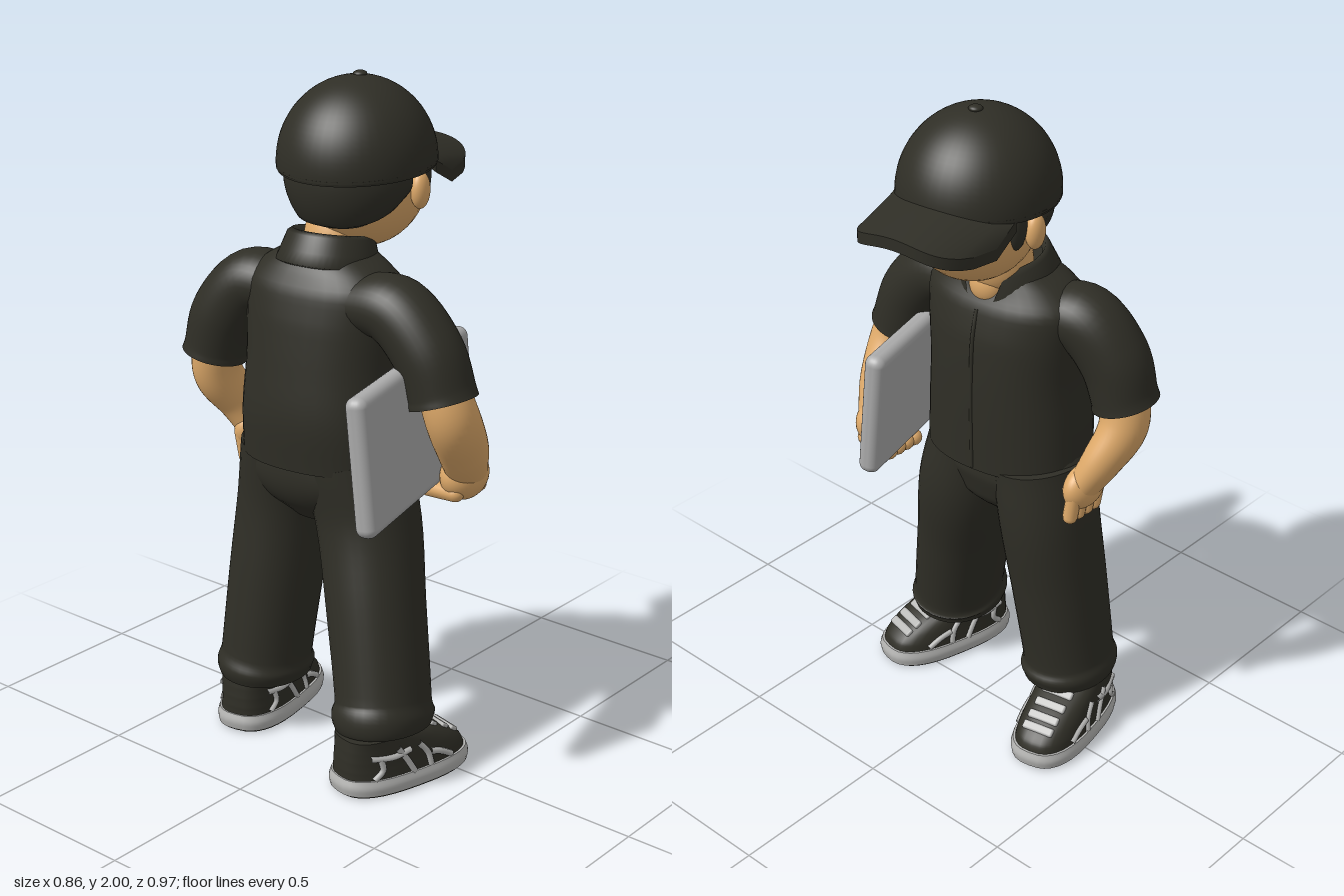
import * as THREE from 'three';
import { RoundedBoxGeometry } from 'three/addons/geometries/RoundedBoxGeometry.js';

const mat = (name, color) => {
  const m = new THREE.MeshStandardMaterial({ color, side: THREE.DoubleSide });
  m.name = name;
  return m;
};
const V = (x, y, z) => new THREE.Vector3(x, y, z);

// Smooth capped body through elliptical rings [x, y, z, radiusA (along x), radiusB];
// e < 1 squares the rings, level keeps them horizontal
function loft(rings, e = 1, level = false, steps = 28, sides = 36) {
  const path = new THREE.CatmullRomCurve3(rings.map(r => V(r[0], r[1], r[2])));
  const radii = new THREE.CatmullRomCurve3(rings.map(r => V(r[3], r[4], 0)));
  const pos = [], idx = [];
  const pw = v => Math.sign(v) * Math.abs(v) ** e;
  const ring = t => {
    const c = path.getPoint(t), r = radii.getPoint(t), T = level ? V(0, 1, 0) : path.getTangent(t);
    const A = V(1, 0, 0).addScaledVector(T, -T.x).normalize();
    const B = T.clone().cross(A);
    for (let j = 0; j < sides; j++) {
      const a = j / sides * Math.PI * 2;
      const p = c.clone().addScaledVector(A, r.x * pw(Math.cos(a))).addScaledVector(B, r.y * pw(Math.sin(a)));
      pos.push(p.x, p.y, p.z);
    }
    return c;
  };
  for (let i = 0; i <= steps; i++) ring(i / steps);
  for (let i = 0; i < steps; i++) for (let j = 0; j < sides; j++) {
    const a = i * sides + j, b = i * sides + (j + 1) % sides;
    idx.push(a, b, a + sides, b, b + sides, a + sides);
  }
  for (const t of [0, 1]) {
    const base = pos.length / 3, c = ring(t), m = base + sides;
    pos.push(c.x, c.y, c.z);
    for (let j = 0; j < sides; j++) {
      const a = base + j, b = base + (j + 1) % sides;
      if (t) idx.push(m, a, b); else idx.push(m, b, a);
    }
  }
  const g = new THREE.BufferGeometry();
  g.setAttribute('position', new THREE.Float32BufferAttribute(pos, 3));
  g.setIndex(idx);
  g.computeVertexNormals();
  return g;
}

export function createModel() {
  const dark = mat('dark cloth', 0x2f2e26), skin = mat('skin', 0xdfaa6a);
  const grey = mat('board grey', 0xababab), pale = mat('shoe trim', 0xb4b4b2);
  const model = new THREE.Group();
  const group = (name, x, z, yaw) => {
    const g = new THREE.Group();
    g.name = name; g.position.set(x, 0, z); g.rotation.y = yaw;
    model.add(g);
    return g;
  };
  const add = (parent, name, geo, m) => {
    const mesh = new THREE.Mesh(geo, m);
    mesh.name = name;
    parent.add(mesh);
    return mesh;
  };
  const ball = (parent, name, m, [x, y, z], [a, b, c]) => {
    const s = add(parent, name, new THREE.SphereGeometry(1, 36, 24), m);
    s.position.set(x, y, z); s.scale.set(a, b, c);
  };
  const finger = (parent, name, a, b, r) => {
    const p = V(...a), q = V(...b), d = q.clone().sub(p);
    const f = add(parent, name, new THREE.CapsuleGeometry(r, d.length(), 6, 12), skin);
    f.position.copy(p).add(q).multiplyScalar(0.5);
    f.quaternion.setFromUnitVectors(V(0, 1, 0), d.normalize());
  };

  // Head, hair and cap, turned slightly
  const head = group('head', 0.04, -0.01, 0.13);
  ball(head, 'face', skin, [0.02, 1.7, 0], [0.19, 0.195, 0.185]);
  const hairGeo = new THREE.SphereGeometry(1, 36, 20, -1.5, 3.0, 0.9, 1.3);
  const hp = hairGeo.attributes.position, uv = hairGeo.attributes.uv;
  const vMin = Math.min(...uv.array.filter((_, i) => i % 2));
  for (let i = 0; i < hp.count; i++) {          // hairline climbs to the ears and tucks into the head
    const w = Math.abs(2 * uv.getX(i) - 1), y = hp.getY(i);
    const edge = w > 0.999 || uv.getY(i) < vMin + 0.001 ? 0.86 : 1;
    hp.setXYZ(i, hp.getX(i) * edge, y < 0 ? y * (1 - 0.7 * w ** 3) : y, hp.getZ(i) * edge);
  }
  hairGeo.computeVertexNormals();
  const hair = add(head, 'hair', hairGeo, dark);
  hair.position.set(-0.005, 1.72, 0); hair.scale.set(0.215, 0.22, 0.203);
  for (const s of [-1, 1]) {
    ball(head, 'ear', skin, [0.012, 1.688, s * 0.195], [0.033, 0.053, 0.026]);
    ball(head, 'sideburn', dark, [0.062, 1.72, s * 0.168], [0.034, 0.075, 0.026]);
  }
  const cap = new THREE.Group();
  cap.name = 'cap'; cap.position.set(-0.005, 1.755, 0); cap.rotation.z = 0.06;
  head.add(cap);
  const dome = add(cap, 'capDome', new THREE.SphereGeometry(1, 48, 20, 0, Math.PI * 2, 0, 1.6), dark);
  dome.scale.set(0.236, 0.236, 0.223);
  const rim = add(cap, 'capRim', new THREE.CylinderGeometry(1, 0.985, 0.014, 48), dark);
  rim.scale.set(0.236, 1, 0.223); rim.position.y = -0.007;
  ball(cap, 'capButton', dark, [0.028, 0.235, 0], [0.02, 0.01, 0.02]);
  const billGeo = new THREE.BoxGeometry(1, 1, 2, 10, 1, 28);
  const bp = billGeo.attributes.position;
  for (let i = 0; i < bp.count; i++) {          // rounded, arched peak
    const a = bp.getX(i) + 0.5, s = bp.getZ(i);
    bp.setXYZ(i, 0.1 + a * (0.09 + 0.195 * (1 - s ** 4) ** 0.6),
      1.792 - 0.045 * a - 0.055 * s * s + bp.getY(i) * 0.034, 0.193 * s);
  }
  billGeo.computeVertexNormals();
  add(head, 'capPeak', billGeo, dark);

  // Shirt, neck and collar
  const torso = group('torso', -0.065, -0.035, 0.1);
  add(torso, 'shirtBody', loft([[-0.008, 0.91, 0, 0.19, 0.25], [-0.012, 1.05, 0, 0.197, 0.245], [-0.005, 1.2, 0, 0.19, 0.235],
    [0, 1.33, 0, 0.178, 0.24], [0, 1.42, 0, 0.158, 0.245], [0, 1.48, 0, 0.125, 0.19], [0.01, 1.525, 0, 0.1, 0.11]], 0.88, true), dark);
  add(torso, 'placket', new THREE.TubeGeometry(new THREE.CatmullRomCurve3(
    [V(0.18, 0.915, 0), V(0.183, 1.2, 0), V(0.176, 1.34, 0), V(0.155, 1.42, 0)]), 20, 0.006, 8), dark);
  add(torso, 'neck', loft([[0.02, 1.42, 0, 0.085, 0.085], [0.045, 1.5, 0, 0.09, 0.09], [0.08, 1.62, 0, 0.09, 0.09]]), skin);
  ball(torso, 'openNeckline', skin, [0.105, 1.48, 0], [0.045, 0.06, 0.055]);
  const collarGeo = new THREE.LatheGeometry([[0.1, 0.03], [0.112, 0.055], [0.125, 0.045], [0.14, 0], [0.152, -0.035], [0.14, -0.04]]
    .map(p => new THREE.Vector2(...p)), 48, Math.PI / 2);
  const cp = collarGeo.attributes.position, cuv = collarGeo.attributes.uv;
  for (let i = 0; i < cp.count; i++) {          // open the front in a V, with dipping points
    const r = Math.hypot(cp.getX(i), cp.getZ(i)), y = cp.getY(i);
    const gap = 0.12 + 5 * (y + 0.04);
    const d = gap + cuv.getX(i) * (2 * Math.PI - 2 * gap);
    const f = Math.max(0, Math.cos(d));
    cp.setXYZ(i, r * Math.cos(d), y - 0.05 * f * f * (r - 0.1) / 0.05, -r * Math.sin(d));
  }
  collarGeo.computeVertexNormals();
  const collar = add(torso, 'collar', collarGeo, dark);
  collar.position.set(0.015, 1.507, 0); collar.rotation.z = -0.17;

  // Arm holding the board
  const armA = group('boardArm', 0, 0, 0);
  add(armA, 'sleeve', loft([[-0.085, 1.39, 0.1, 0.1, 0.08], [-0.08, 1.385, 0.23, 0.105, 0.098],
    [-0.075, 1.285, 0.335, 0.103, 0.1], [-0.07, 1.18, 0.378, 0.1, 0.096], [-0.07, 1.155, 0.386, 0.102, 0.099]]), dark);
  add(armA, 'forearm', loft([[-0.07, 1.22, 0.37, 0.07, 0.07], [-0.05, 1.1, 0.405, 0.08, 0.074],
    [0.02, 0.99, 0.39, 0.077, 0.066], [0.085, 0.9, 0.355, 0.06, 0.058]]), skin);
  ball(armA, 'palm', skin, [0.078, 0.892, 0.352], [0.084, 0.074, 0.062]);
  for (let i = 0; i < 4; i++) {
    finger(armA, 'finger', [0.026 + i * 0.035, 0.85, 0.36], [0.03 + i * 0.035, 0.843, 0.262], 0.026);
  }
  finger(armA, 'thumb', [0.1, 0.94, 0.35], [0.168, 0.92, 0.28], 0.026);

  // Arm with the hand at the hip
  const armB = group('hipArm', 0, 0, 0);
  add(armB, 'sleeve', loft([[-0.085, 1.385, -0.15, 0.1, 0.08], [-0.115, 1.385, -0.27, 0.105, 0.098],
    [-0.14, 1.285, -0.355, 0.103, 0.1], [-0.148, 1.18, -0.388, 0.1, 0.092], [-0.15, 1.155, -0.394, 0.102, 0.095]]), dark);
  add(armB, 'forearm', loft([[-0.15, 1.22, -0.385, 0.07, 0.07], [-0.13, 1.09, -0.405, 0.077, 0.068],
    [-0.07, 0.99, -0.38, 0.068, 0.056], [-0.038, 0.91, -0.345, 0.06, 0.045]]), skin);
  ball(armB, 'palm', skin, [-0.04, 0.905, -0.342], [0.077, 0.068, 0.046]);
  for (let i = 0; i < 4; i++) {
    finger(armB, 'finger', [-0.094 + i * 0.035, 0.9, -0.348], [-0.086 + i * 0.034, 0.825, -0.34], 0.022);
  }

  // Board under the arm
  const board = add(model, 'board', new RoundedBoxGeometry(0.735, 0.395, 0.064, 4, 0.028), grey);
  board.position.set(-0.07, 1.055, 0.284);
  board.rotation.set(-0.09, 0.26, 0, 'YXZ');

  // Trousers
  const trousers = group('trousers', 0, 0, 0);
  add(trousers, 'hips', loft([[-0.075, 0.98, -0.04, 0.165, 0.22], [-0.075, 0.87, -0.045, 0.172, 0.265],
    [-0.07, 0.79, -0.045, 0.145, 0.21], [-0.07, 0.725, -0.045, 0.08, 0.1]]), dark);
  add(trousers, 'legBoardSide', loft([[-0.07, 0.92, 0.07, 0.165, 0.14], [-0.062, 0.74, 0.115, 0.157, 0.145],
    [-0.105, 0.5, 0.18, 0.15, 0.137], [-0.15, 0.24, 0.245, 0.148, 0.13], [-0.158, 0.2, 0.252, 0.16, 0.139],
    [-0.16, 0.165, 0.255, 0.15, 0.13]], 0.95), dark);
  add(trousers, 'legHipSide', loft([[-0.065, 0.92, -0.17, 0.165, 0.135], [-0.06, 0.74, -0.198, 0.157, 0.135],
    [-0.085, 0.5, -0.22, 0.148, 0.134], [-0.11, 0.24, -0.242, 0.142, 0.13], [-0.112, 0.2, -0.245, 0.155, 0.137],
    [-0.112, 0.165, -0.246, 0.145, 0.128]], 0.95), dark);

  // Shoes: t runs up the upper from sole to ankle
  const upper = t => [-0.09 * t * t, 0.045 + 0.125 * t, 0, 0.215 - 0.1 * t * t, 0.103 - 0.015 * t];
  const onSide = ([x, t], s) => {
    const [cx, y, , rx, rz] = upper(t);
    return V(x, y, s * rz * (1 - Math.abs((x - cx) / rx) ** 2.667) ** 0.375);
  };
  const stripes = [[[-0.02, 0.05], [-0.045, 0.4], [-0.075, 0.75]], [[0.04, 0.08], [0.03, 0.4], [0, 0.7]],
    [[-0.16, 0.6], [-0.09, 0.55], [-0.03, 0.62]], [[-0.15, 0.08], [-0.125, 0.3], [-0.13, 0.55]],
    [[0.04, 0.4], [0.08, 0.3], [0.12, 0.12]]];
  for (const [name, x, z, yaw] of [['shoeBoardSide', -0.12, 0.282, -0.25], ['shoeHipSide', -0.035, -0.295, 0.2]]) {
    const shoe = group(name, x, z, yaw);
    add(shoe, 'tread', loft([[0, 0, 0, 0.213, 0.105], [0, 0.008, 0, 0.222, 0.111]], 0.75, true, 2), dark);
    add(shoe, 'sole', loft([[0, 0.007, 0, 0.222, 0.111], [0, 0.03, 0, 0.226, 0.114], [0, 0.054, 0, 0.219, 0.108]], 0.75, true, 8), pale);
    add(shoe, 'upper', loft([0, 0.25, 0.5, 0.75, 1].map(upper), 0.75, true), dark);
    for (const s of [-1, 1]) for (const st of stripes) {
      add(shoe, 'sideStripe', new THREE.TubeGeometry(new THREE.CatmullRomCurve3(st.map(p => onSide(p, s))), 12, 0.01, 6), pale);
    }
    for (const t of [0.5, 0.65, 0.8, 0.94]) {
      const [cx, y, , rx] = upper(t);
      const lace = add(shoe, 'lace', new RoundedBoxGeometry(0.027, 0.014, 0.1, 2, 0.006), pale);
      lace.position.set(cx + rx - 0.003, y, 0);
      lace.rotation.z = -0.6;
    }
  }
  return model;
}
